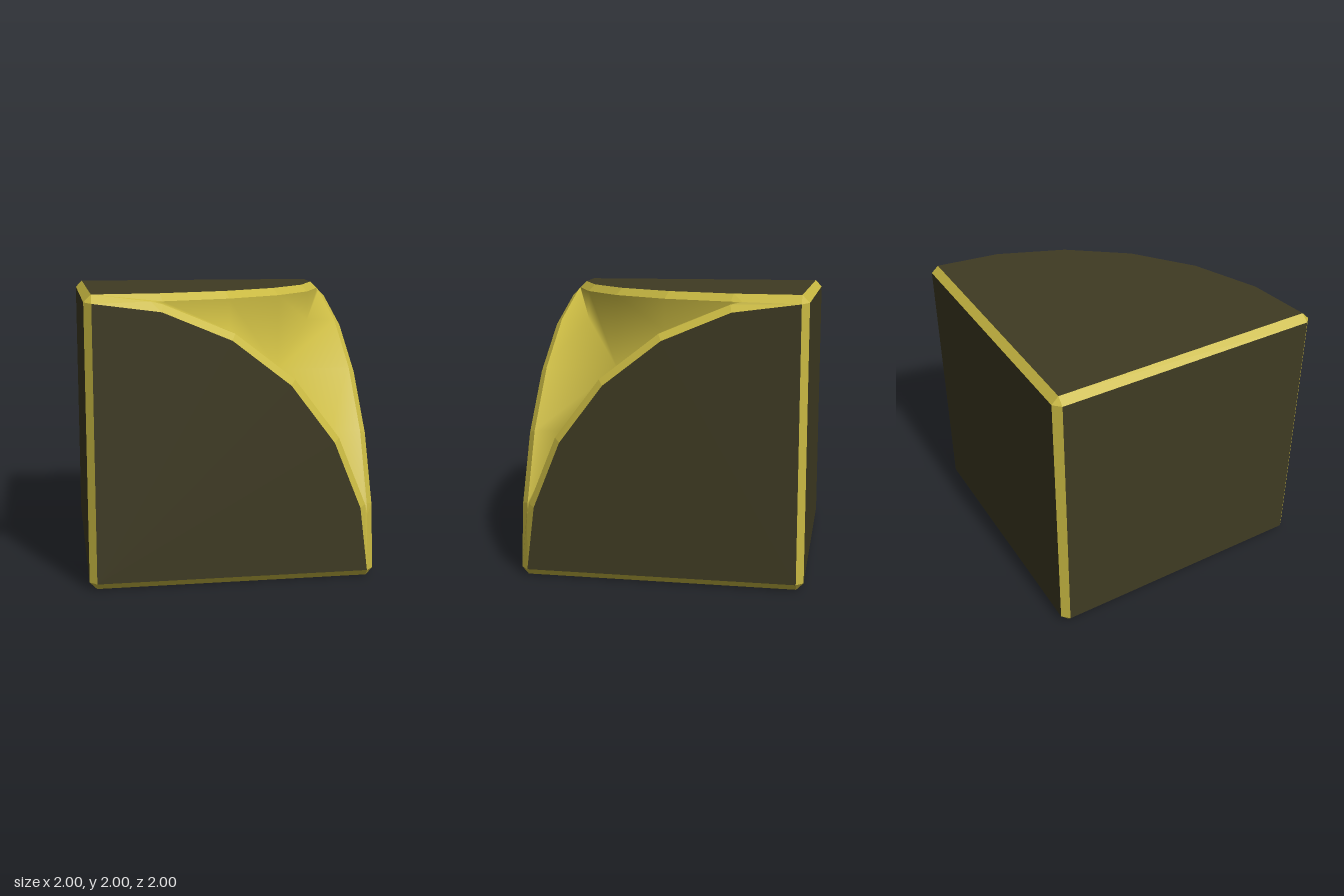
import * as THREE from 'three';
import { mergeVertices } from 'three/addons/utils/BufferGeometryUtils.js';

const S = 2;          // cube side
const B = 0.05;       // chamfer width
const L = S - B;      // inset far side
const E = 1.943;      // end of the inset arc, where it meets the chamfer
const STEPS = 6;      // arc segments per quarter circle

// Point on a quarter circle, 15 degrees per step
const arc = (r, i, z) => {
  const t = (i / STEPS) * Math.PI / 2;
  return [r * Math.cos(t), r * Math.sin(t), z];
};
const swapXY = ([x, y, z]) => [y, x, z];

// Builds polygons as fans facing out of the solid, repeated
// three times around the cube's body diagonal
function threefold(polygons, smooth) {
  const core = new THREE.Vector3(0.7, 0.7, 0.7);
  const position = [];
  for (let k = 0; k < 3; k++) {
    for (const poly of polygons) {
      const pts = poly.map(p => new THREE.Vector3(p[(3 - k) % 3], p[(4 - k) % 3], p[(5 - k) % 3]));
      for (let i = 1; i < pts.length - 1; i++) {
        const tri = new THREE.Triangle(pts[0], pts[i], pts[i + 1]);
        if (tri.getArea() < 1e-7) continue;
        const out = tri.getNormal(new THREE.Vector3()).dot(pts[0].clone().sub(core)) > 0;
        const order = out ? [tri.a, tri.b, tri.c] : [tri.a, tri.c, tri.b];
        for (const v of order) position.push(v.x - S / 2, v.y, v.z - S / 2);
      }
    }
  }
  let geo = new THREE.BufferGeometry();
  geo.setAttribute('position', new THREE.Float32BufferAttribute(position, 3));
  if (smooth) geo = mergeVertices(geo, 1e-4);
  geo.computeVertexNormals();
  return geo;
}

export function createModel() {
  const model = new THREE.Group();
  model.name = 'scoopedCube';
  const dark = new THREE.MeshStandardMaterial({ color: 0x3f3b23 });
  const yellow = new THREE.MeshStandardMaterial({ color: 0xc9b942 });
  const add = (name, polygons, material, smooth = false) => {
    const mesh = new THREE.Mesh(threefold(polygons, smooth), material);
    mesh.name = name;
    model.add(mesh);
  };

  // Inset rim on the face plane, and the wall's rim one chamfer deeper
  const tip = [L, 0.44, L];
  const outer = [[E, B, S]], inner = [tip];
  for (let i = 1; i < STEPS; i++) {
    outer.push(arc(L, i, S));
    inner.push(arc(S, i, L));
  }
  outer.push([B, E, S]);
  inner.push(swapXY(tip));

  // Full square faces and quarter-disc faces
  add('squarePanels', [[[B, B, 0], [L, B, 0], [L, L, 0], [B, L, 0]]], dark);
  add('quarterDiscPanels', [[[B, B, S], ...outer]], dark);

  // Straight chamfers along the cube's edges
  const lower = [[B, B, S], [E, B, S], [L, 0, L], [B, 0, L]];
  add('edgeChamfers', [
    lower,
    lower.map(swapXY),
    [[B, 0, B], [0, B, B], [0, B, L], [B, 0, L]],
  ], yellow);

  // Small triangles closing the corners
  add('cornerChamfers', [
    [[B, B, S], [0, B, L], [B, 0, L]],
    [[E, B, S], [S, B, E], [L, 0, L]],
  ], yellow);
  const c = 1 - B, corner = new THREE.BufferGeometry().setFromPoints([
    new THREE.Vector3(-c, 0 + B, -1), new THREE.Vector3(-c, 0, -c), new THREE.Vector3(-1, B, -c),
  ]);
  corner.computeVertexNormals();
  const backCorner = new THREE.Mesh(corner, yellow);
  backCorner.name = 'backCornerChamfer';
  model.add(backCorner);

  // Curved chamfers around the scoop, with the triangles at its tips
  const rim = [[[E, B, S], tip, [S, B, E]]];
  for (let i = 0; i < STEPS; i++) rim.push([outer[i], outer[i + 1], inner[i + 1], inner[i]]);
  add('scoopRim', rim, yellow);

  // Three quarter-cylinder walls meeting at the deepest point
  const walls = [];
  const deep = ([x, y]) => [x, y, Math.max(x, y)];
  for (let i = 0; i < STEPS; i++) {
    walls.push([inner[i], inner[i + 1], deep(inner[i + 1]), deep(inner[i])]);
  }
  add('scoop', walls, yellow, true);

  return model;
}
